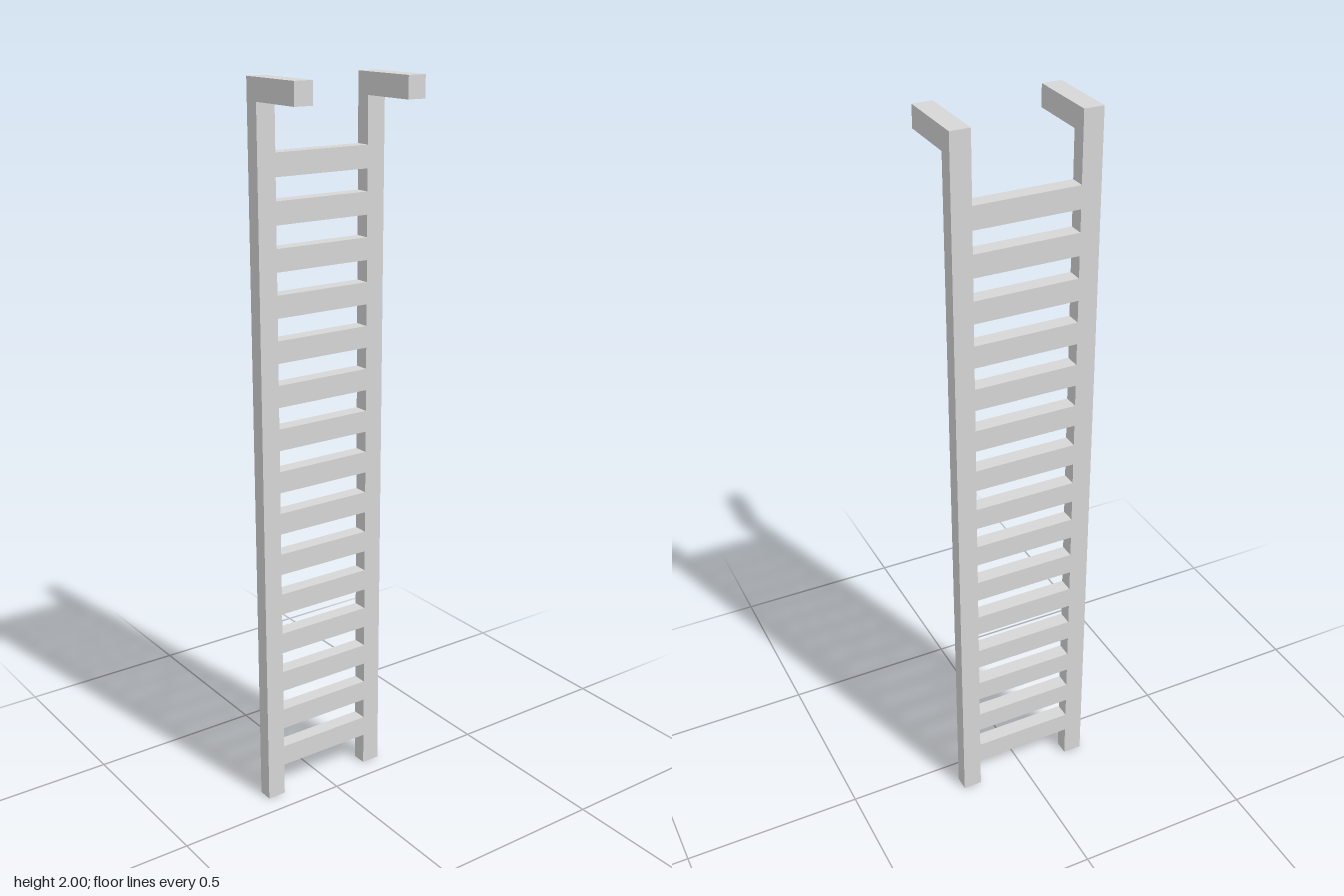
import * as THREE from 'three';

const BACK = -0.103, DEPTH = 0.042, FRONT = 0.103;
const RAIL_IN = 0.141, RAIL_W = 0.053;

export function createModel() {
  const group = new THREE.Group();
  group.name = 'ladder';
  const grey = new THREE.MeshStandardMaterial({ name: 'light grey', color: 0xd6d6d6 });

  // Side rail with its forward hook: an L profile (z, y), extruded across x
  const profile = new THREE.Shape([
    [BACK, 0], [BACK + DEPTH, 0], [BACK + DEPTH, 1.942],
    [FRONT, 1.942], [FRONT, 2], [BACK, 2],
  ].map(([z, y]) => new THREE.Vector2(-z, y)));
  const railGeo = new THREE.ExtrudeGeometry(profile, { depth: RAIL_W, bevelEnabled: false });
  railGeo.rotateY(Math.PI / 2); // shape x becomes -z, extrusion runs along +x

  for (const [name, x] of [['leftRail', RAIL_IN], ['rightRail', -RAIL_IN - RAIL_W]]) {
    const rail = new THREE.Mesh(railGeo, grey);
    rail.name = name;
    rail.position.x = x;
    group.add(rail);
  }

  // Fifteen flat rungs, flush with the rails
  const rungGeo = new THREE.BoxGeometry(RAIL_IN * 2, 0.06, DEPTH);
  for (let i = 0; i < 15; i++) {
    const rung = new THREE.Mesh(rungGeo, grey);
    rung.name = `rung${i + 1}`;
    rung.position.set(0, 0.123 + i * 0.119, BACK + DEPTH / 2);
    group.add(rung);
  }
  return group;
}
